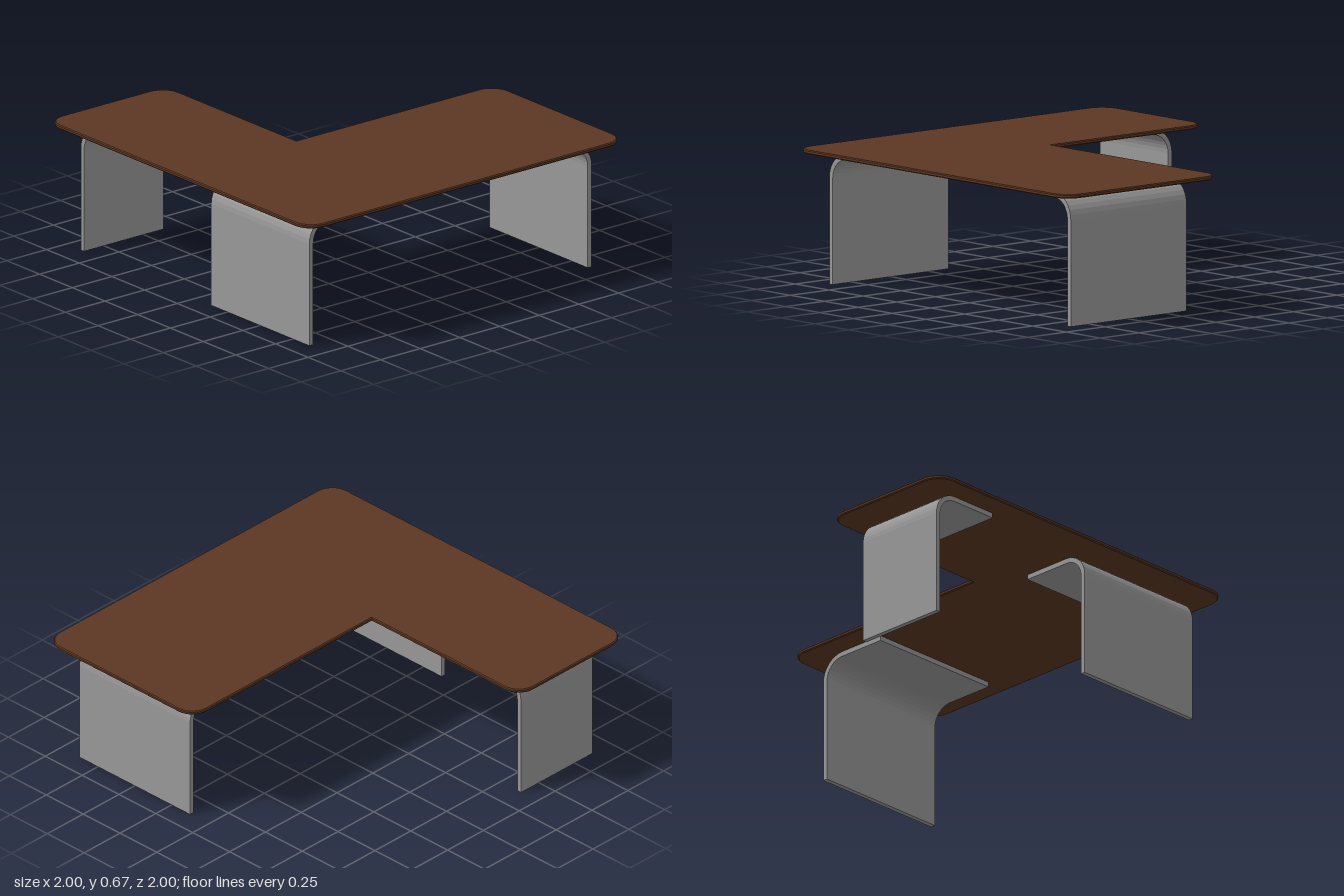
import * as THREE from 'three';

const TOP_Y = 0.65, THICK = 0.02, BEVEL = 0.005;

// Outline of the L-shaped top; each corner is [x, z, rounding radius]
function roundedOutline(corners) {
  const shape = new THREE.Shape();
  const n = corners.length;
  corners.forEach(([x, z, r], i) => {
    const toward = ([px, pz]) => {
      const d = Math.hypot(px - x, pz - z);
      return [x + (px - x) * r / d, z + (pz - z) * r / d];
    };
    const a = toward(corners[(i + n - 1) % n]);
    const b = toward(corners[(i + 1) % n]);
    if (i === 0) shape.moveTo(...a); else shape.lineTo(...a);
    if (r > 0) {
      const cx = a[0] + b[0] - x, cz = a[1] + b[1] - z;
      const start = Math.atan2(a[1] - cz, a[0] - cx);
      shape.absarc(cx, cz, r, start, start + Math.PI / 2, false);
    }
  });
  shape.closePath();
  return shape;
}

function tabletopGeometry() {
  // y of the shape is -z of the model
  const R = 0.1;
  const shape = roundedOutline([
    [-1, -1, R], [1, -1, R], [1, 1, R], [0, 1, R], [0, -0.25, 0], [-1, -0.25, R],
  ]);
  const geo = new THREE.ExtrudeGeometry(shape, {
    depth: THICK - 2 * BEVEL, curveSegments: 4,
    bevelEnabled: true, bevelThickness: BEVEL, bevelSize: BEVEL, bevelOffset: -BEVEL, bevelSegments: 1,
  });
  geo.rotateX(-Math.PI / 2);
  geo.translate(0, TOP_Y + BEVEL, 0);
  return geo;
}

// Bent sheet: vertical panel curving into a flat flange, outer face toward -x
function legGeometry(width) {
  const outer = -0.89, inner = -0.5, t = 0.025, r = 0.125;
  const cx = outer + r, cy = TOP_Y - r;
  const s = new THREE.Shape();
  s.moveTo(outer, 0);
  s.lineTo(outer + t, 0);
  s.lineTo(outer + t, cy);
  s.absarc(cx, cy, r - t, Math.PI, Math.PI / 2, true);
  s.lineTo(inner, TOP_Y - t);
  s.lineTo(inner, TOP_Y);
  s.lineTo(cx, TOP_Y);
  s.absarc(cx, cy, r, Math.PI / 2, Math.PI, false);
  s.closePath();
  const geo = new THREE.ExtrudeGeometry(s, { depth: width, bevelEnabled: false, curveSegments: 4 });
  geo.translate(0, 0, -width / 2);
  return geo;
}

export function createModel() {
  const wood = new THREE.MeshStandardMaterial({ name: 'brownWood', color: 0x5c3723 });
  const metal = new THREE.MeshStandardMaterial({ name: 'greyMetal', color: 0x999999 });
  const desk = new THREE.Group();
  desk.name = 'cornerDesk';

  const top = new THREE.Mesh(tabletopGeometry(), wood);
  top.name = 'tabletop';
  desk.add(top);

  // name, width, x, z, turn about y
  const legs = [
    ['frontLeg', 0.75, 0.5, 0, Math.PI / 2],
    ['backLeg', 0.75, 0.5, 0, -Math.PI / 2],
    ['sideLeg', 0.5, 0, 0.625, 0],
  ];
  for (const [name, width, x, z, turn] of legs) {
    const leg = new THREE.Mesh(legGeometry(width), metal);
    leg.name = name;
    leg.position.set(x, 0, z);
    leg.rotation.y = turn;
    desk.add(leg);
  }
  return desk;
}
